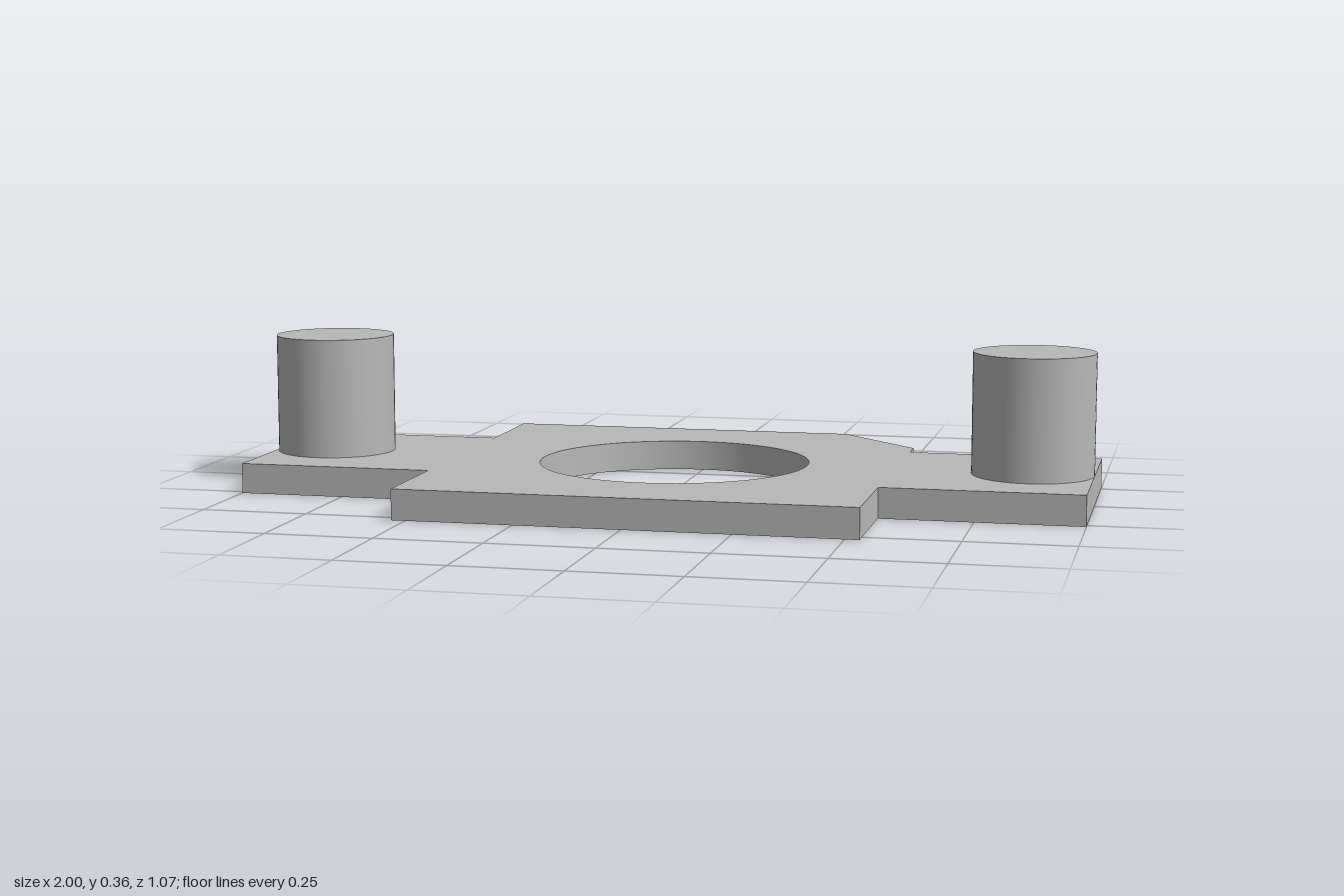
import * as THREE from 'three';
import { toCreasedNormals } from 'three/addons/utils/BufferGeometryUtils.js';

const THICKNESS = 0.0715;
const TOP = 0.358;
const PEG_RADIUS = 0.143;
const HOLE_RADIUS = 0.323;

export function createModel() {
  const group = new THREE.Group();
  const grey = new THREE.MeshStandardMaterial({ color: 0xb8b8b8 });
  grey.name = 'grey metal';

  // Flat plate: square body, two side tabs, one chamfered back corner, round hole
  const body = 0.533, tab = 0.267, chamfer = 0.2;
  const outline = new THREE.Shape([
    [-body, -body], [body, -body], [body, -tab], [1, -tab], [1, tab], [body, tab],
    [body, body - chamfer], [body - chamfer, body], [-body, body],
    [-body, tab], [-1, tab], [-1, -tab], [-body, -tab],
  ].map(([x, y]) => new THREE.Vector2(x, y)));
  const hole = new THREE.Path();
  hole.absarc(0, 0, HOLE_RADIUS, 0, Math.PI * 2, true);
  outline.holes.push(hole);
  const plateGeometry = new THREE.ExtrudeGeometry(outline, {
    depth: THICKNESS, bevelEnabled: false, curveSegments: 64,
  });
  plateGeometry.rotateX(-Math.PI / 2);
  const plate = new THREE.Mesh(toCreasedNormals(plateGeometry, 0.5), grey);
  plate.name = 'plate';
  group.add(plate);

  // Upright pegs, flush with the tab ends
  const pegHeight = TOP - THICKNESS;
  const pegGeometry = new THREE.CylinderGeometry(PEG_RADIUS, PEG_RADIUS, pegHeight, 64);
  for (const [name, side] of [['leftPeg', 1], ['rightPeg', -1]]) {
    const peg = new THREE.Mesh(pegGeometry, grey);
    peg.name = name;
    peg.position.set(side * (1 - PEG_RADIUS), THICKNESS + pegHeight / 2, 0);
    group.add(peg);
  }

  return group;
}
